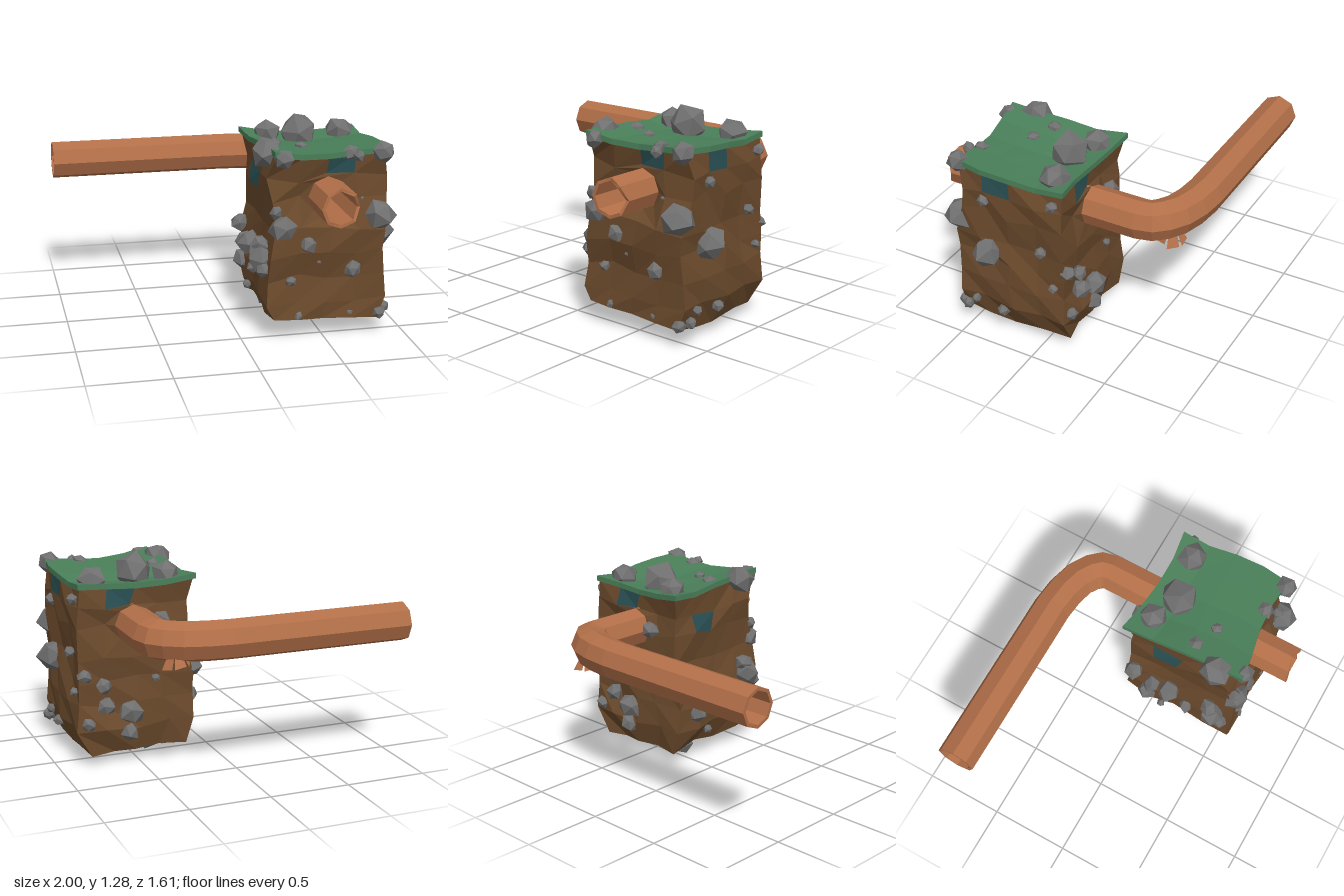
import * as THREE from 'three';

const mat = (color) => new THREE.MeshStandardMaterial({ color, flatShading: true, side: THREE.DoubleSide });
const V = (x, y, z) => new THREE.Vector3(x, y, z);

// repeatable noise in -1..1
function noise(a, b, c, d = 0) {
  const s = Math.sin(a * 127.1 + b * 311.7 + c * 74.7 + d * 41.3 + 5.2) * 43758.5453;
  return (s - Math.floor(s)) * 2 - 1;
}

// gathers quads and turns them into a faceted mesh
function quadMesh(name, quads, material) {
  const pos = [];
  for (const [a, b, c, d] of quads) for (const p of [a, b, c, a, c, d]) pos.push(p.x, p.y, p.z);
  const geo = new THREE.BufferGeometry();
  geo.setAttribute('position', new THREE.Float32BufferAttribute(pos, 3));
  geo.computeVertexNormals();
  const mesh = new THREE.Mesh(geo, material);
  mesh.name = name;
  return mesh;
}

// soil lattice: 4 x 7 x 4 cells with a wobbly outline per row
const ROWS = [0.09, 0.24, 0.38, 0.53, 0.68, 0.86, 0.98];
const X0 = [0.19, 0.14, 0.145, 0.165, 0.18, 0.17, 0.17];
const X1 = [0.82, 0.885, 0.885, 0.875, 0.87, 0.88, 0.88];
const Z0 = [-0.14, -0.175, -0.155, -0.16, -0.155, -0.145, -0.14];
const Z1 = [0.58, 0.565, 0.555, 0.575, 0.58, 0.525, 0.52];
// underside heights from back to front
const BOTTOM = [0.07, 0.11, 0.07, 0.095, 0.12];
// outline and heights of the top row
const TOP = {
  x0: [0.15, 0.17, 0.18, 0.19, 0.19], x1: [0.86, 0.86, 0.88, 0.885, 0.86],
  z0: [-0.17, -0.145, -0.13, -0.13, -0.155], z1: [0.59, 0.565, 0.53, 0.52, 0.54],
  y: [1.11, 1.09, 1.11, 1.12, 1.13], dip: [0.02, -0.01, -0.02, -0.01, 0.005],
};
const lerp = THREE.MathUtils.lerp;
function soilPoint(i, j, k) {
  if (j === 7) return V(lerp(TOP.x0[k], TOP.x1[k], i / 4), TOP.y[k] + TOP.dip[i], lerp(TOP.z0[i], TOP.z1[i], k / 4));
  const y = j === 0 ? BOTTOM[k] + 0.008 * (2 - i) : ROWS[j] + (i === 2 && j === 6 ? 0.025 : 0);
  return V(
    lerp(X0[j], X1[j], i / 4) + 0.022 * noise(i, j, k, 1),
    y + (j === 0 ? 0.01 : 0.025) * noise(i, j, k, 2),
    lerp(Z0[j], Z1[j], k / 4) + 0.022 * noise(i, j, k, 3)
  );
}

const PIPE = { x: 0.525, y: 0.87, r: 0.12, inner: 0.1 };

function buildSoil(group) {
  const soil = [], patches = [];
  // side: point rule, rows, patch cell, whether the pipe passes through
  const sides = [
    [(a, b) => soilPoint(a, b, 4), 7, [2, 6], true],
    [(a, b) => soilPoint(a, b, 0), 7, [2, 6], true],
    [(a, b) => soilPoint(4, b, a), 7, [2, 6], false],
    [(a, b) => soilPoint(0, b, a), 7, [1, 5], false],
    [(a, b) => soilPoint(a, 0, b), 4, [-1, -1], false],
  ];
  for (const [G, rows, patch, pierced] of sides) {
    for (let a = 0; a < 4; a++) for (let b = 0; b < rows; b++) {
      if (pierced && (a === 1 || a === 2) && (b === 4 || b === 5)) {
        // cells around the pipe stop at its octagonal outline
        const s = a === 1 ? -1 : 1, t = b === 4 ? -1 : 1;
        const z = G(2, 5).z;
        const rim = (u, v) => {
          const l = Math.hypot(u, v);
          return V(PIPE.x + PIPE.r * u / l, PIPE.y + PIPE.r * v / l, z);
        };
        const D = G(2 + s, 5 + t);
        soil.push([G(2 + s, 5), rim(s, 0), rim(s, t), D], [D, rim(s, t), rim(0, t), G(2, 5 + t)]);
      } else {
        const list = a === patch[0] && b === patch[1] ? patches : soil;
        list.push([G(a, b), G(a + 1, b), G(a + 1, b + 1), G(a, b + 1)]);
      }
    }
  }
  group.add(quadMesh('soilBlock', soil, mat(0x6b4a2c)));
  group.add(quadMesh('tealPatches', patches, mat(0x2a5054)));
}

function buildGrass(group) {
  const quads = [];
  const G = (a, b, h) => {
    const p = soilPoint(a, 7, b);
    return V(0.525 + (p.x - 0.525) * 1.04, p.y + h, 0.21 + (p.z - 0.21) * 1.03);
  };
  const low = -0.008, high = 0.026;
  for (let a = 0; a < 4; a++) for (let b = 0; b < 4; b++) for (const h of [low, high])
    quads.push([G(a, b, h), G(a, b + 1, h), G(a + 1, b + 1, h), G(a + 1, b, h)]);
  // rim
  for (let n = 0; n < 4; n++) for (const e of [0, 4]) {
    quads.push([G(n, e, high), G(n + 1, e, high), G(n + 1, e, low), G(n, e, low)]);
    quads.push([G(e, n, high), G(e, n + 1, high), G(e, n + 1, low), G(e, n, low)]);
  }
  group.add(quadMesh('grassTop', quads, mat(0x4a7f59)));
}

function buildPipe(group) {
  // centre line in x, z
  const path = [[-1, -0.687], [0.13, -0.687], [0.27, -0.672], [0.385, -0.64], [0.465, -0.59],
    [0.51, -0.54], [0.525, -0.48], [0.525, 0.78]];
  // ragged front end
  const jag = [-0.02, 0.018, -0.005, 0.015, 0.02, 0.02, 0.005, 0.008];
  const last = path.length - 1;
  const ring = (n, r) => {
    const [x, z] = path[n];
    const p = path[Math.max(n - 1, 0)], q = path[Math.min(n + 1, last)];
    let tx = q[0] - p[0], tz = q[1] - p[1];
    if (n === 1) [tx, tz] = [1, 0];
    if (n === last - 1) [tx, tz] = [0, 1];
    const l = Math.hypot(tx, tz);
    return jag.map((d, s) => {
      const ang = s * Math.PI / 4, c = Math.cos(ang) * r / l;
      return V(x + tz * c, PIPE.y + Math.sin(ang) * r, z - tx * c + (n === last ? d : 0));
    });
  };
  // out along the skin, back along the bore, closed on itself
  const rings = [];
  for (let n = 0; n <= last; n++) rings.push(ring(n, PIPE.r));
  for (let n = last; n >= 0; n--) rings.push(ring(n, PIPE.inner));
  const quads = [];
  rings.forEach((A, n) => {
    const B = rings[(n + 1) % rings.length];
    for (let s = 0; s < 8; s++) quads.push([A[s], A[(s + 1) % 8], B[(s + 1) % 8], B[s]]);
  });
  const copper = mat(0xb26f48);
  group.add(quadMesh('pipe', quads, copper));

  // torn metal round a leak under the bend, bent out and in
  const flaps = [];
  for (let s = 0; s < 6; s++) {
    const at = (t, r, y) => V(0.44 + Math.cos(t) * r, y, -0.64 + Math.sin(t) * r);
    const t = s * Math.PI / 3, low = 0.728 + 0.014 * noise(s, 2, 7);
    flaps.push([at(t, 0.045, 0.81), at(t + 1.05, 0.045, 0.81), at(t + 0.95, 0.09, low), at(t + 0.1, 0.085, low + 0.012)]);
  }
  group.add(quadMesh('tornMetal', flaps, copper));
}

function buildRocks(group) {
  const rockMat = mat(0x707070);
  let seed = 0;
  const rock = (x, y, z, r) => {
    const id = ++seed;
    const geo = new THREE.IcosahedronGeometry(r, 0);
    const p = geo.attributes.position;
    for (let i = 0; i < p.count; i++) {
      const v = V(0, 0, 0).fromBufferAttribute(p, i);
      const k = [v.x, v.y, v.z].map((c) => Math.round(c / r * 10));
      v.multiplyScalar(1 + 0.16 * noise(k[0], k[1], k[2], id));
      p.setXYZ(i, v.x, v.y, v.z);
    }
    const mesh = new THREE.Mesh(geo, rockMat);
    mesh.name = 'rock';
    mesh.position.set(x, y, z);
    mesh.rotation.set(id * 1.3, id * 2.1, id * 0.7);
    group.add(mesh);
  };
  const front = [[0.24, 0.7, 0.085], [0.83, 0.75, 0.1], [0.39, 0.6, 0.06], [0.67, 0.42, 0.058], [0.29, 0.37, 0.035],
    [0.46, 0.48, 0.017], [0.34, 0.145, 0.032], [0.66, 0.145, 0.022], [0.72, 0.86, 0.012], [0.85, 0.13, 0.042], [0.2, 0.8, 0.042]];
  const right = [[0.35, 0.58, 0.105], [-0.02, 0.7, 0.035], [-0.1, 0.47, 0.028], [0.26, 0.18, 0.04], [0.45, 0.2, 0.03],
    [0.51, 0.145, 0.038], [0.36, 0.94, 0.038], [-0.1, 1.04, 0.038]];
  const left = [[0.0, 0.34, 0.065], [0.03, 0.47, 0.06], [0.46, 0.49, 0.085], [0.52, 0.44, 0.05], [0.44, 0.57, 0.06],
    [0.15, 0.5, 0.075], [-0.1, 0.55, 0.06], [0.28, 0.38, 0.045], [0.1, 0.2, 0.03]];
  const back = [[0.365, 0.885, 0.06], [0.73, 0.51, 0.05], [0.715, 0.38, 0.06], [0.56, 0.33, 0.085], [0.57, 0.2, 0.06],
    [0.83, 0.28, 0.045], [0.4, 0.53, 0.025], [0.85, 0.58, 0.045]];
  const top = [[0.28, -0.06, 0.09], [0.47, 0.02, 0.12], [0.75, -0.04, 0.09], [0.26, 0.25, 0.05], [0.41, 0.31, 0.04],
    [0.17, 0.43, 0.095], [0.85, 0.55, 0.075], [0.23, 0.59, 0.06], [0.66, 0.51, 0.05], [0.21, 0.18, 0.012], [0.69, 0.58, 0.04]];
  front.forEach(([x, y, r]) => rock(x, y, 0.565, r));
  right.forEach(([z, y, r]) => rock(0.89, y, z, r));
  left.forEach(([z, y, r]) => rock(0.13, y, z, r));
  back.forEach(([x, y, r]) => rock(x, y, -0.18, r));
  top.forEach(([x, z, r]) => rock(x, 1.115 + r * 0.25, z, r));
  // underside
  rock(0.37, 0.095, 0.06, 0.095);
  rock(0.27, 0.09, 0.0, 0.065);
}

export function createModel() {
  const model = new THREE.Group();
  model.name = 'soilBlockWithPipe';
  buildSoil(model);
  buildGrass(model);
  buildPipe(model);
  const rocks = new THREE.Group();
  rocks.name = 'rocks';
  buildRocks(rocks);
  model.add(rocks);
  return model;
}
